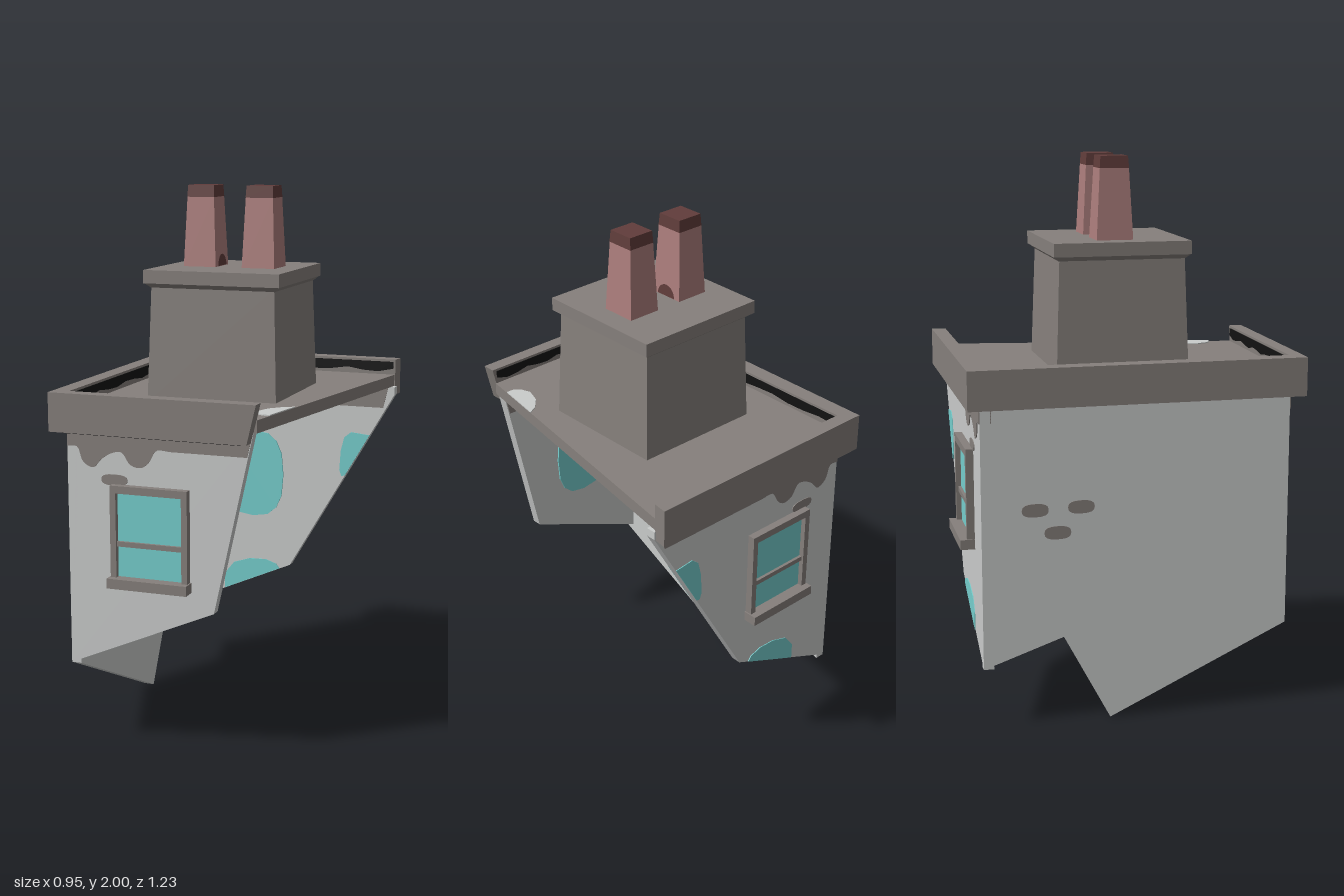
import * as THREE from 'three';

const mat = (name, color, extra = {}) => {
  const m = new THREE.MeshStandardMaterial({ color, ...extra });
  m.name = name;
  return m;
};

export function createModel() {
  const root = new THREE.Group();
  const plaster = mat('plaster', 0xcacccb);
  const stone = mat('stone', 0x86807c);
  const teal = mat('teal', 0x76cfce);
  const clay = mat('clay', 0xad7f7d);
  const darkClay = mat('dark clay', 0x613d3b);
  const black = mat('black', 0x121212);

  const add = (name, geo, material, parent = root) => {
    const m = new THREE.Mesh(geo, material);
    m.name = name;
    parent.add(m);
    return m;
  };
  const toShape = (pts) => new THREE.Shape(pts.map(([x, y]) => new THREE.Vector2(x, y)));
  const extrude = (pts, depth) =>
    new THREE.ExtrudeGeometry(toShape(pts), { depth, bevelEnabled: false });
  // outline in (x, y), extruded from z
  const slabXY = (pts, z, d) => extrude(pts, d).translate(0, 0, z);
  // outline in (z, y), extruded from x to x + d
  const slabZY = (pts, x, d) => extrude(pts, d).rotateY(-Math.PI / 2).translate(x + d, 0, 0);
  // outline in (x, z), extruded down from top
  const slabXZ = (pts, top, d) => extrude(pts, d).rotateX(Math.PI / 2).translate(0, top, 0);
  const box = (w, h, d, x, y, z) => new THREE.BoxGeometry(w, h, d).translate(x, y, z);
  const smooth = (pts) =>
    new THREE.SplineCurve(pts.map(([x, y]) => new THREE.Vector2(x, y)))
      .getPoints(pts.length * 4).map((p) => [p.x, p.y]);
  const blob = (cx, cy, rx, ry) => Array.from({ length: 16 }, (_, i) => {
    const a = (i / 16) * Math.PI * 2, q = (v) => Math.sign(v) * Math.abs(v) ** 0.75;
    return [cx + rx * q(Math.cos(a)), cy + ry * q(Math.sin(a))];
  });
  // box whose top has its own half sizes
  const taper = (x, z, y0, y1, bx, bz, tx, tz) => {
    const g = new THREE.BoxGeometry(2, y1 - y0, 2);
    const p = g.attributes.position;
    for (let i = 0; i < p.count; i++) {
      const top = p.getY(i) > 0;
      p.setX(i, p.getX(i) * (top ? tx : bx));
      p.setZ(i, p.getZ(i) * (top ? tz : bz));
    }
    g.computeVertexNormals();
    return g.translate(x, (y0 + y1) / 2, z);
  };

  // Broken walls
  const T = 0.037, P = 0.003;
  add('frontWall', slabXY([[-0.43, 0.31], [0.12, 0.55], [0.264, 1.2], [-0.43, 1.2]], 0.56 - T, T), plaster);
  add('backWall', slabXY([[-0.43, 0.22], [0.045, 0.43], [0.475, 1.17], [0.475, 1.2], [-0.43, 1.2]], -0.56, T), plaster);
  add('sideWall', slabZY([[0.56, 0.31], [0.56, 1.2], [-0.56, 1.2], [-0.56, 0.22], [-0.27, 0.32], [-0.1, 0]], -0.43, T), plaster);

  // Stains, painted on both faces of the front and back walls
  const drip = smooth([[-0.43, 1.11], [-0.39, 1.11], [-0.37, 1.06], [-0.33, 1.04], [-0.3, 1.07],
    [-0.26, 1.095], [-0.22, 1.1], [-0.19, 1.06], [-0.15, 1.05], [-0.12, 1.07], [-0.09, 1.115], [-0.04, 1.115]]);
  const stain = (end) => [...drip, [end - 0.02, 1.115], [end, 1.2], [-0.43, 1.2]];
  const bothFaces = (name, pts, z, material) => {
    add(name, slabXY(pts, z, P), material);
    add(name, slabXY(pts, z - T - P, P), material);
  };
  for (const [z, end] of [[0.56, 0.262], [-0.56 + T, 0.45]]) {
    bothFaces('stain', stain(end), z, stone);
    bothFaces('bareStone', blob(-0.25, 1.0, 0.05, 0.02), z, stone);
  }
  add('innerStain', slabZY([[-0.52, 1.145], [0.52, 1.155], [0.52, 1.2], [-0.52, 1.2]], -0.43 + T, P), stone);
  for (const [z, y] of [[-0.205, 0.797], [-0.37, 0.793], [-0.29, 0.708]]) {
    for (const x of [-0.43 + T, -0.43 - P])
      add('exposedBrick', slabZY(blob(z, y, 0.048, 0.024), x, P), stone);
  }

  // Teal paint patches
  bothFaces('edgePatch', [[0.376, 1.0], [0.3, 1.008], [0.272, 0.985], [0.258, 0.93],
    [0.253, 0.85], [0.262, 0.825], [0.276, 0.828]], -0.56 + T, teal);
  bothFaces('lowerPatch', [[-0.24, 0.305], [0, 0.411], [-0.015, 0.43], [-0.06, 0.445],
    [-0.13, 0.443], [-0.2, 0.42], [-0.24, 0.37]], -0.56 + T, teal);
  const innerPatch = blob(-0.115, 0.81, 0.13, 0.18);
  add('innerPatch', slabXY(innerPatch, 0.56 - T - 2 * P, 2 * P), teal);
  add('innerPatch', slabXY(innerPatch, -0.56 + T, 2 * P), teal);

  // Windows
  const makeWindow = (name) => {
    const g = new THREE.Group();
    g.name = name;
    add('glass', box(0.27, 0.32, 0.008, 0, 0.805, 0.005), teal, g);
    for (const s of [-1, 1]) add('frameSide', box(0.022, 0.34, 0.028, s * 0.134, 0.815, 0.014), stone, g);
    add('frameTop', box(0.29, 0.027, 0.028, 0, 0.972, 0.014), stone, g);
    add('midRail', box(0.25, 0.018, 0.02, 0, 0.775, 0.01), stone, g);
    add('sill', box(0.3, 0.036, 0.053, 0, 0.637, 0.0265), stone, g);
    root.add(g);
    return g;
  };
  makeWindow('frontWindow').position.set(-0.113, 0, 0.56);
  const backWindow = makeWindow('backWindow');
  backWindow.position.set(-0.122, 0, -0.56);
  backWindow.rotation.y = Math.PI;

  // Roof deck with its slanted broken edge
  const cut = (z) => 0.275 + (0.56 - z) * 0.17;
  add('roofDeck', slabXZ([[-0.43, 0.557], [cut(0.557), 0.557], [cut(-0.557), -0.557], [-0.43, -0.557]], 1.245, 0.045), stone);
  add('deckPatch', slabXZ([[cut(0.285), 0.285], [0.285, 0.305], [0.245, 0.35], [0.225, 0.41],
    [0.24, 0.45], [0.265, 0.467], [cut(0.467), 0.467]], 1.249, 0.004), plaster);

  // Parapet on three sides, front end sheared along the break
  const parapet = slabXZ([[-0.48, 0.605], [0.288, 0.605], [0.288, 0.555], [-0.42, 0.555],
    [-0.42, -0.555], [0.468, -0.555], [0.475, -0.608], [-0.48, -0.608]], 1.305, 0.14);
  const pp = parapet.attributes.position;
  for (let i = 0; i < pp.count; i++) {
    if (pp.getX(i) > 0 && pp.getZ(i) > 0) pp.setX(i, pp.getX(i) - (1.305 - pp.getY(i)) * 0.24);
  }
  parapet.computeVertexNormals();
  add('parapet', parapet, stone);

  // Black grime inside the parapet and beneath its overhang
  const grime = (a, b) => {
    const n = 14;
    const low = Array.from({ length: n + 1 }, (_, i) =>
      [a + ((b - a) * i) / n, 1.262 + 0.009 * Math.sin(i * 1.9) + 0.004 * Math.sin(i * 4.3)]);
    return [...low, [b, 1.296], [a, 1.296]];
  };
  add('sideGrime', slabZY(grime(-0.55, 0.55), -0.42, P), black);
  add('backGrime', slabXY(grime(-0.41, 0.46), -0.555, P), black);
  add('frontGrime', slabXY(grime(-0.41, 0.27), 0.555 - P, P), black);
  add('backSoffit', box(0.88, P, 0.034, 0.01, 1.164, -0.582), black);
  add('frontSoffit', box(0.66, P, 0.034, -0.1, 1.164, 0.582), black);

  // Chimney stack and cap
  const cx = -0.015;
  add('chimneyStack', taper(cx, -0.013, 1.22, 1.65, 0.248, 0.243, 0.234, 0.228), stone);
  add('capFlare', taper(cx, -0.014, 1.64, 1.657, 0.236, 0.23, 0.255, 0.248), stone);
  add('chimneyCap', box(0.515, 0.048, 0.5, cx, 1.68, -0.015), stone);

  // Chimney pots with sooty tops and a soot mark on the facing sides
  for (const [x, side] of [[-0.13, 1], [0.097, -1]]) {
    add('pot', taper(x, -0.027, 1.7, 1.957, 0.063, 0.067, 0.052, 0.053), clay);
    add('potTop', taper(x, -0.027, 1.957, 2, 0.0525, 0.0535, 0.05, 0.05), darkClay);
    const soot = add('sootMark', new THREE.CircleGeometry(0.042, 16, 0, Math.PI).rotateX(-0.043).rotateY(side * Math.PI / 2), darkClay);
    soot.position.set(x + side * 0.065, 1.706, -0.027);
  }

  return root;
}
